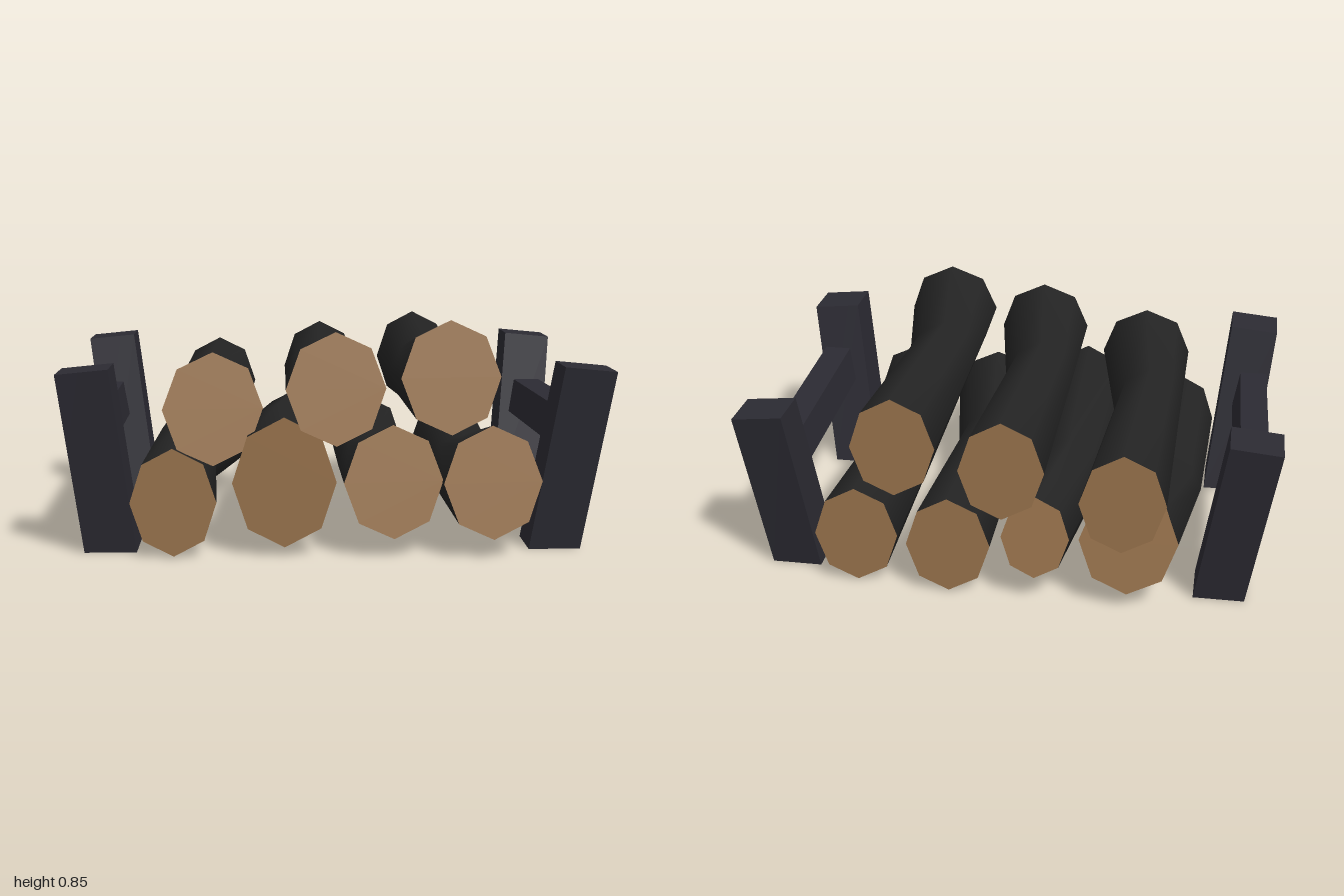
import * as THREE from 'three';

const SIDES = 8;

// Ring of points: centre, radii, and z slope along y (pitch) and x (yaw)
function ring([x, y, z, rx, ry, pitch = 0, yaw = 0]) {
  const pts = [];
  for (let i = 0; i < SIDES; i++) {
    const a = (i / SIDES) * Math.PI * 2;
    const dx = Math.cos(a) * rx, dy = Math.sin(a) * ry;
    pts.push(new THREE.Vector3(x + dx, y + dy, z + dy * pitch + dx * yaw));
  }
  return pts;
}

function indexed(points, index) {
  const g = new THREE.BufferGeometry().setFromPoints(points);
  g.setIndex(index);
  g.computeVertexNormals();
  return g;
}

// Log from cross-sections listed front to back
function makeLog(sections, bark, cutWood) {
  const log = new THREE.Group();
  log.name = 'log';
  const rings = sections.map(ring);
  const index = [];
  for (let r = 0; r < rings.length - 1; r++) {
    for (let i = 0; i < SIDES; i++) {
      const j = (i + 1) % SIDES;
      const a = r * SIDES + i, b = r * SIDES + j;
      index.push(a, a + SIDES, b, b, a + SIDES, b + SIDES);
    }
  }
  const side = new THREE.Mesh(indexed(rings.flat(), index), bark);
  side.name = 'logBark';
  log.add(side);

  // Cut ends
  const fan = [], fanBack = [];
  for (let i = 1; i < SIDES - 1; i++) {
    fan.push(0, i, i + 1);
    fanBack.push(0, i + 1, i);
  }
  const front = new THREE.Mesh(indexed(rings[0], fan), cutWood);
  front.name = 'logFrontCut';
  const back = new THREE.Mesh(indexed(rings[rings.length - 1], fanBack), cutWood);
  back.name = 'logBackCut';
  log.add(front, back);
  return log;
}

// Box whose corners are placed by rule(sx, sy, sz) with signs -1 / +1
function shapedBox(name, material, rule) {
  const g = new THREE.BoxGeometry(2, 2, 2);
  const p = g.attributes.position;
  for (let i = 0; i < p.count; i++) {
    p.setXYZ(i, ...rule(p.getX(i), p.getY(i), p.getZ(i)));
  }
  g.computeVertexNormals();
  const m = new THREE.Mesh(g, material);
  m.name = name;
  return m;
}

export function createModel() {
  const bark = new THREE.MeshStandardMaterial({ color: 0x242424 });
  bark.name = 'charred bark';
  const cutWood = new THREE.MeshStandardMaterial({ color: 0x96714b });
  cutWood.name = 'cut wood';
  const iron = new THREE.MeshStandardMaterial({ color: 0x2c2b33 });
  iron.name = 'dark iron';

  const model = new THREE.Group();
  model.name = 'firewoodRack';

  // Five logs share one bent shape; x, y of the front end and z shift
  const logs = new THREE.Group();
  logs.name = 'logs';
  const bent = [
    [0.21, 0.272, -0.015],
    [0.565, 0.272, 0.01],
    [-0.437, 0.53, -0.08],
    [0.004, 0.605, -0.04],
    [0.41, 0.65, 0],
  ];
  for (const [x, y, z] of bent) {
    logs.add(makeLog([
      [x, y, z + 0.64, 0.18, 0.2, -0.2, -0.1],
      [x - 0.045, y - 0.045, z + 0.12, 0.13, 0.145, 0.6],
      [x - 0.018, y - 0.072, z - 0.61, 0.155, 0.193, 0, -0.08],
    ], bark, cutWood));
  }
  // Lower right log, turned end for end
  logs.add(makeLog([
    [-0.58, 0.202, 0.625, 0.155, 0.197],
    [-0.585, 0.23, -0.1, 0.13, 0.145, -0.6],
    [-0.475, 0.27, -0.62, 0.18, 0.2, 0.17, -0.05],
  ], bark, cutWood));
  // Tapering log
  logs.add(makeLog([
    [-0.182, 0.272, 0.625, 0.187, 0.237],
    [-0.2, 0.27, -0.1, 0.14, 0.165, -0.4],
    [-0.135, 0.265, -0.635, 0.125, 0.155, 0.15, -0.05],
  ], bark, cutWood));
  model.add(logs);

  // Leaning posts: top centre x, z and bottom centre x, z
  const posts = [
    ['frontRightPost', -0.887, 0.58, -0.815, 0.445],
    ['backRightPost', -0.907, -0.56, -0.81, -0.43],
    ['frontLeftPost', 0.902, 0.58, 0.81, 0.455],
    ['backLeftPost', 0.878, -0.565, 0.815, -0.42],
  ];
  for (const [name, tx, tz, bx, bz] of posts) {
    const out = Math.sign(tx);
    model.add(shapedBox(name, iron, (sx, sy, sz) => sy > 0
      ? [tx + sx * 0.093, 0.68 - sx * out * 0.009, tz + sz * 0.09]
      : [bx + sx * 0.095, 0, bz + sz * 0.095]));
  }

  // Side rails joining front and back posts
  const rails = [
    ['rightRail', -0.882, -0.9],
    ['leftRail', 0.885, 0.858],
  ];
  for (const [name, frontX, backX] of rails) {
    const out = Math.sign(frontX);
    model.add(shapedBox(name, iron, (sx, sy, sz) => [
      (sz > 0 ? frontX : backX) + sx * 0.053 + out * sy * 0.013,
      (sz > 0 ? 0.434 : 0.424) + sy * 0.067,
      sz * 0.47,
    ]));
  }
  return model;
}
